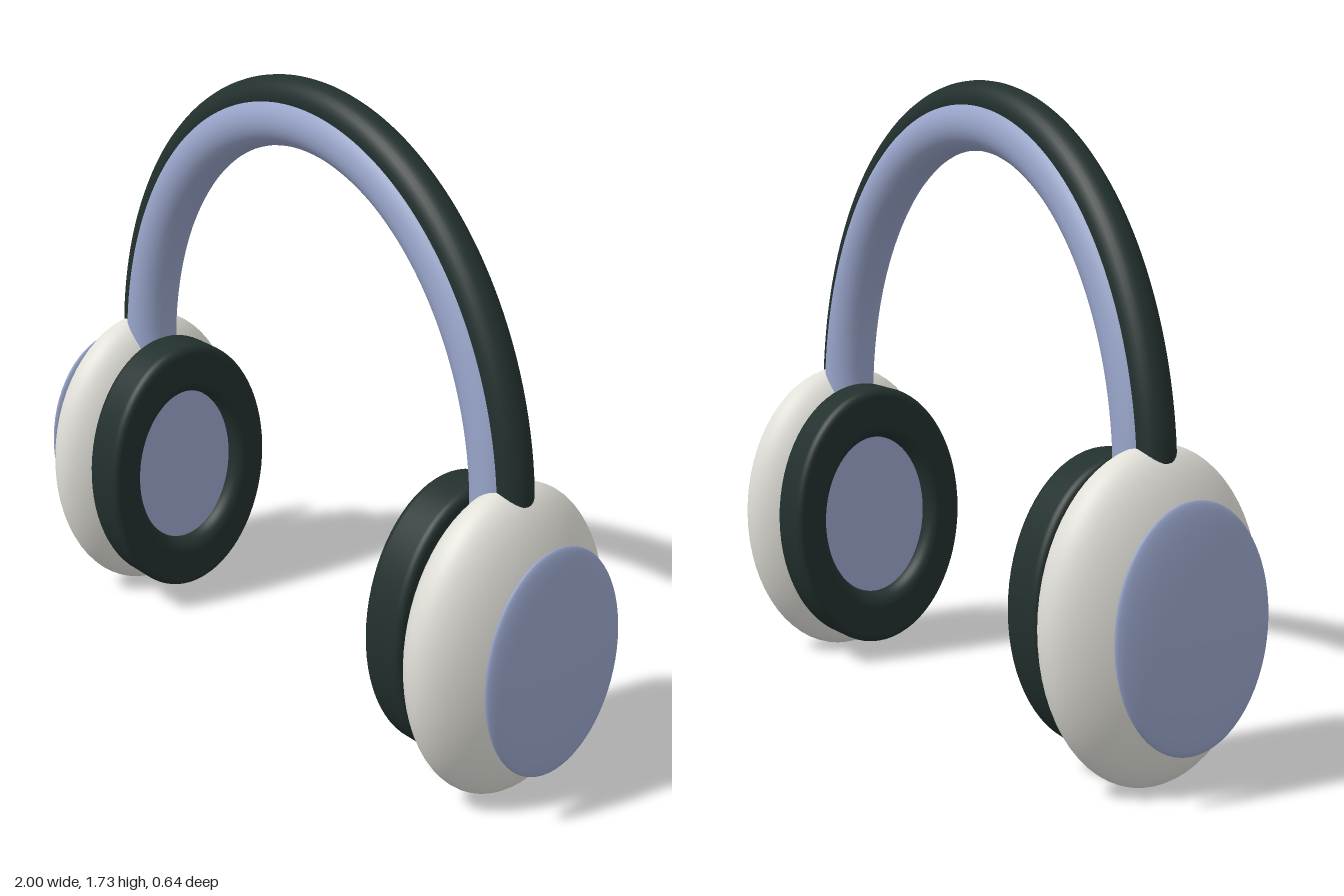
import * as THREE from 'three';

const shellWhite = new THREE.MeshStandardMaterial({ color: 0xe0dfd8 });
const lavender = new THREE.MeshStandardMaterial({ color: 0x98a4c9 });
const darkGreen = new THREE.MeshStandardMaterial({ color: 0x22302e });

const CUP_Y = 0.437;

function part(name, geometry, material) {
  const mesh = new THREE.Mesh(geometry, material);
  mesh.name = name;
  return mesh;
}

function ellipsoid(rx, ry, rz) {
  return new THREE.SphereGeometry(1, 64, 40).rotateZ(Math.PI / 2).scale(rx, ry, rz);
}

// Tube following the upper half of an ellipse
function archTube(a, h, baseY, radius) {
  const points = [];
  for (let i = 0; i <= 24; i++) {
    const t = Math.PI * (1 - i / 24);
    points.push(new THREE.Vector3(a * Math.cos(t), baseY + h * Math.sin(t), 0));
  }
  return new THREE.TubeGeometry(new THREE.CatmullRomCurve3(points), 120, radius, 28);
}

// Ring cushion with rounded rims, its axis pointing inwards (-x)
function cushionGeometry() {
  const R = 0.386, depth = 0.135, hole = 0.235;
  const profile = [new THREE.Vector2(0.2, 0)];
  const corner = (cx, cy, r, from, to) => {
    for (let i = 0; i <= 8; i++) {
      const a = from + (to - from) * i / 8;
      profile.push(new THREE.Vector2(cx + r * Math.cos(a), cy + r * Math.sin(a)));
    }
  };
  corner(R - 0.022, 0.022, 0.022, -Math.PI / 2, 0);
  corner(R - 0.025, depth - 0.025, 0.025, 0, Math.PI / 2);
  corner(hole + 0.045, depth - 0.045, 0.045, Math.PI / 2, Math.PI);
  profile.push(new THREE.Vector2(hole, 0.03));
  return new THREE.LatheGeometry(profile, 72).rotateZ(Math.PI / 2).scale(1, 1, 0.715);
}

// One ear cup on the +x side
function earCup(name) {
  const cup = new THREE.Group();
  cup.name = name;

  const shell = part('shell', ellipsoid(0.148, 0.431, 0.318), shellWhite);
  shell.position.set(0.8, CUP_Y - 0.003, 0);

  const cap = part('outerCap', ellipsoid(0.028, 0.315, 0.228), lavender);
  cap.position.set(0.971, CUP_Y + 0.003, 0);

  const cushion = part('earCushion', cushionGeometry(), darkGreen);
  cushion.position.set(0.7, CUP_Y + 0.003, 0);

  // Flat speaker cover inside the cushion ring
  const cover = part('speakerCover',
    new THREE.CylinderGeometry(0.26, 0.26, 0.02, 64).rotateZ(Math.PI / 2).scale(1, 1, 0.715), lavender);
  cover.position.set(0.617, CUP_Y + 0.003, 0);

  cup.add(shell, cap, cushion, cover);
  return cup;
}

export function createModel() {
  const model = new THREE.Group();
  model.name = 'headphones';

  // Headband: dark outer arch with a thicker padded arch beneath it
  model.add(
    part('headbandOuter', archTube(0.812, 0.917, 0.76, 0.053), darkGreen),
    part('headbandPadding', archTube(0.759, 0.855, 0.76, 0.073), lavender)
  );

  const leftCup = earCup('leftEarCup');
  const rightCup = earCup('rightEarCup');
  rightCup.rotation.y = Math.PI;
  model.add(leftCup, rightCup);
  return model;
}
